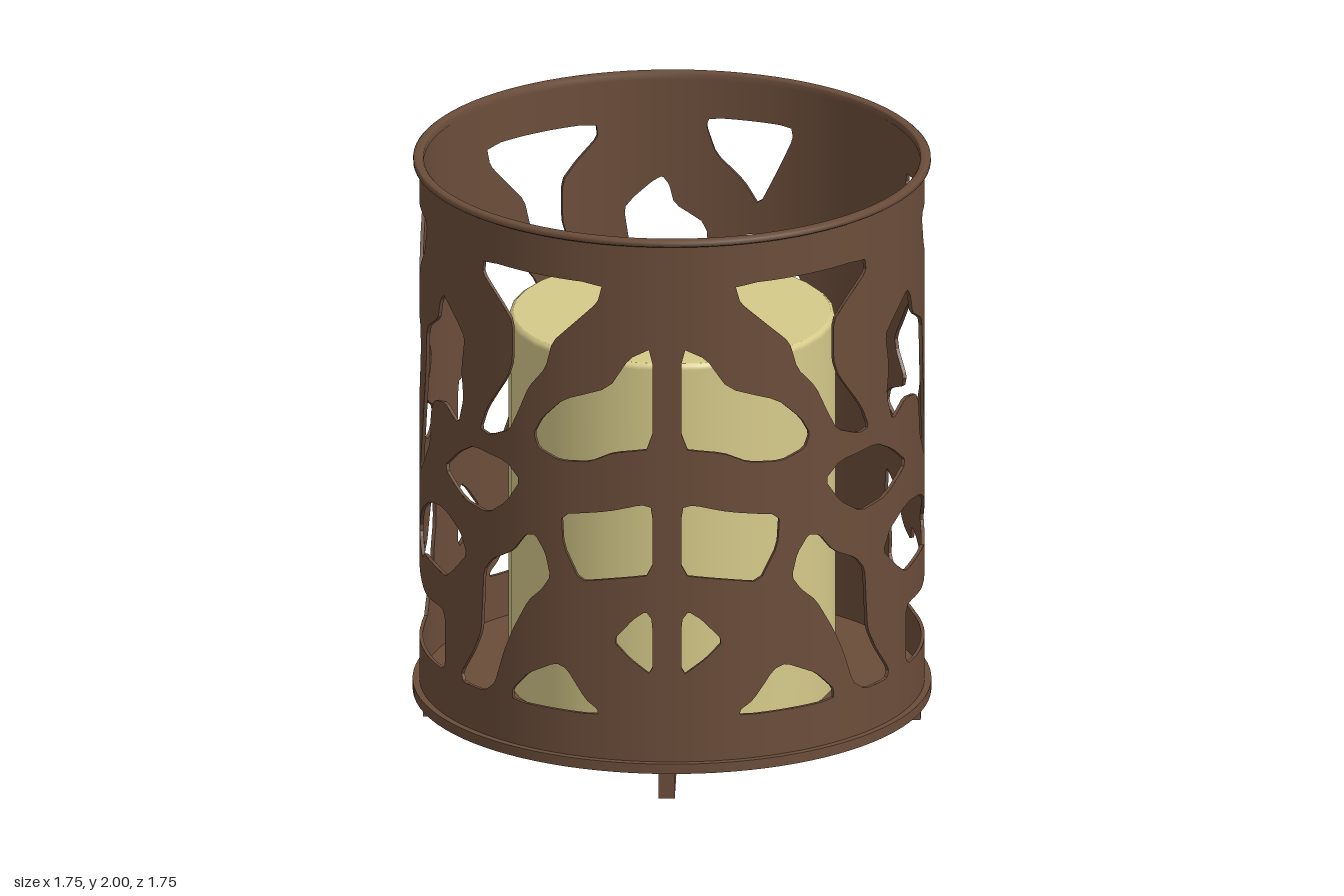
import * as THREE from 'three';

const BROWN = 0x6b4d3a, WAX = 0xd6ca8a;
const R_OUT = 0.85, R_IN = 0.838, Y0 = 0.11, Y1 = 1.98;
const START = -116.5, END = 243.5; // degrees covered by the wall

// Cut-out outlines of one panel as [degrees from the front pole, height].
const poleHoles = [
  [[3.4, 1.25], [3.4, 1.61], [9, 1.57], [14, 1.46], [26, 1.4], [32, 1.32], [34.4, 1.26], [33, 1.21], [27, 1.18], [19, 1.19], [13, 1.23]],
  [[3.4, 0.8], [3.4, 1.04], [6, 1.05], [14, 1.02], [26.5, 0.99], [26, 0.88], [21.5, 0.76], [13, 0.78]],
  [[3.4, 0.44], [3.4, 0.64], [5, 0.67], [8, 0.64], [13, 0.56], [9, 0.5]],
  [[16.8, 0.29], [41, 0.29], [41, 0.33], [36, 0.4], [28, 0.455], [25, 0.44], [20, 0.34], [17, 0.31]],
  [[15.7, 1.83], [51, 1.83], [51.5, 1.78], [45, 1.7], [41, 1.64], [41, 1.5], [42.5, 1.44], [50, 1.3], [52.5, 1.22],
    [49, 1.21], [42, 1.25], [39, 1.33], [36, 1.42], [31, 1.5], [29, 1.6], [23, 1.68], [17, 1.76]],
];
const middleHoles = [
  [[29.6, 0.76], [31, 0.84], [34, 0.9], [37, 0.89], [41, 0.82], [48, 0.77], [51, 0.72], [51.5, 0.6], [52, 0.5],
    [55, 0.42], [60.5, 0.32], [59.5, 0.29], [51, 0.29], [47, 0.33], [44, 0.45], [41, 0.54], [36, 0.66], [32, 0.71]],
  [[38.5, 1.08], [43, 1.135], [55, 1.15], [62, 1.1], [69.5, 1.02], [59, 0.945], [49.5, 0.93], [43, 0.99]],
  [[59, 1.52], [62, 1.56], [67, 1.61], [70, 1.63], [72, 1.6], [73.5, 1.53], [83, 1.46], [84, 1.3], [88, 1.1], [93.4, 0.9],
    [86, 0.97], [80, 1.06], [79, 1.18], [76, 1.23], [69, 1.25], [62, 1.2], [59.5, 1.3], [60.5, 1.4]],
  [[58, 0.75], [61, 0.82], [67, 0.86], [72, 0.87], [80, 0.85], [90, 0.78], [96, 0.7], [96, 0.67], [89, 0.61], [86, 0.64],
    [76.4, 0.64], [68.6, 0.63], [63.5, 0.68]],
];
const spineHoles = [
  [[83, 1.81], [84, 1.84], [110.7, 1.84], [111.4, 1.8], [107, 1.7], [99.5, 1.54], [94.7, 1.62], [86, 1.71]],
  [[92, 1.35], [93.4, 1.42], [96.8, 1.44], [101.5, 1.43], [110.7, 1.37], [118, 1.22], [117, 1.17], [112.8, 1.1],
    [114, 1.06], [121, 1.02], [122, 0.97], [118, 0.93], [112.8, 0.93], [107, 0.98], [100, 1.1], [94.7, 1.22]],
  [[69, 0.31], [71.5, 0.29], [112.8, 0.29], [116, 0.35], [121, 0.42], [120.5, 0.5], [122.8, 0.6], [122, 0.74], [118, 0.69],
    [113, 0.57], [108, 0.54], [107, 0.6], [95.4, 0.54], [84.6, 0.5], [70.8, 0.51], [69, 0.48]],
];

// The three panels: one as drawn, two mirrored and slightly squeezed.
const panels = [
  p => p,
  p => 243.5 - (0.92 * p - 0.0009 * p * p),
  p => -(0.95 * p - 0.0006 * p * p),
];

// Round the corners of a closed outline, then split it into short edges.
function smoothOutline(pts) {
  const cut = [], out = [];
  pts.forEach((a, i) => {
    const b = pts[(i + 1) % pts.length];
    for (const t of [0.15, 0.85]) cut.push([a[0] + (b[0] - a[0]) * t, a[1] + (b[1] - a[1]) * t]);
  });
  cut.forEach((a, i) => {
    const b = cut[(i + 1) % cut.length];
    const n = Math.ceil(Math.abs(b[0] - a[0]) / 3) || 1;
    for (let k = 0; k < n; k++) out.push([a[0] + (b[0] - a[0]) * k / n, a[1] + (b[1] - a[1]) * k / n]);
  });
  return out;
}

const dir = deg => [Math.sin(deg * Math.PI / 180), Math.cos(deg * Math.PI / 180)];

function bufferGeometry(pos, nor) {
  const g = new THREE.BufferGeometry();
  g.setAttribute('position', new THREE.Float32BufferAttribute(pos, 3));
  if (nor) g.setAttribute('normal', new THREE.Float32BufferAttribute(nor, 3));
  else g.computeVertexNormals();
  return g;
}

// Cylinder wall cut into narrow upright slabs; each slab keeps only the solid spans between cut-outs.
function wallGeometry(edges) {
  const cols = [];
  for (let a = START; a <= END; a += 3) cols.push(a);
  edges.forEach(e => cols.push(e[0][0]));
  cols.sort((a, b) => a - b);
  const pos = [], nor = [];
  const vertex = (deg, y, r, sign) => {
    const [s, c] = dir(deg);
    pos.push(s * r, y, c * r);
    nor.push(s * sign, 0, c * sign);
  };
  for (let i = 0; i + 1 < cols.length; i++) {
    const a = cols[i], b = cols[i + 1], mid = (a + b) / 2;
    if (b - a < 1e-6) continue;
    const cuts = [[Y0, Y0], [Y1, Y1]];
    for (const [p, q] of edges) {
      if ((p[0] - mid) * (q[0] - mid) >= 0) continue;
      const at = d => p[1] + (q[1] - p[1]) * (d - p[0]) / (q[0] - p[0]);
      cuts.push([at(a), at(b)]);
    }
    cuts.sort((u, v) => u[0] + u[1] - v[0] - v[1]);
    for (let k = 0; k + 1 < cuts.length; k += 2) {
      const lo = cuts[k], hi = cuts[k + 1];
      const quad = [[a, lo[0]], [b, lo[1]], [b, hi[1]], [a, hi[0]]];
      for (const j of [0, 1, 2, 0, 2, 3]) vertex(...quad[j], R_OUT, 1);
      for (const j of [0, 2, 1, 0, 3, 2]) vertex(...quad[j], R_IN, -1);
    }
  }
  return bufferGeometry(pos, nor);
}

// Thin faces joining the outer and inner wall around every cut-out.
function holeEdgeGeometry(edges) {
  const pos = [];
  for (const [p, q] of edges) {
    const point = (v, r) => { const [s, c] = dir(v[0]); return [s * r, v[1], c * r]; };
    const quad = [point(p, R_OUT), point(q, R_OUT), point(q, R_IN), point(p, R_IN)];
    for (const j of [0, 1, 2, 0, 2, 3]) pos.push(...quad[j]);
  }
  return bufferGeometry(pos);
}

export function createModel() {
  const group = new THREE.Group();
  const metal = new THREE.MeshStandardMaterial({ color: BROWN });
  const metalThin = new THREE.MeshStandardMaterial({ color: BROWN, side: THREE.DoubleSide });
  const wax = new THREE.MeshStandardMaterial({ color: WAX });
  const grey = new THREE.MeshStandardMaterial({ color: 0xcccccc });
  const add = (name, geometry, material, y = 0) => {
    const mesh = new THREE.Mesh(geometry, material);
    mesh.name = name;
    mesh.position.y = y;
    group.add(mesh);
    return mesh;
  };

  // Pierced wall
  const edges = [];
  for (const wrap of panels) {
    for (const hole of [...poleHoles, ...middleHoles, ...spineHoles]) {
      const pts = smoothOutline(hole).map(([p, y]) => [wrap(p), y]);
      pts.forEach((p, i) => edges.push([p, pts[(i + 1) % pts.length]]));
    }
  }
  add('piercedWall', wallGeometry(edges), metalThin);
  add('holeEdges', holeEdgeGeometry(edges), metalThin);

  // Rolled rim at the top
  const rim = [[0.836, 1.975], [0.862, 1.975], [0.871, 1.981], [0.871, 1.994], [0.864, 2], [0.842, 2], [0.836, 1.994], [0.836, 1.975]];
  add('topRim', new THREE.LatheGeometry(rim.map(p => new THREE.Vector2(...p)), 96), metalThin);

  // Floor plate and crossed feet
  add('floorPlate', new THREE.CylinderGeometry(0.873, 0.873, 0.035, 96), metal, 0.1175);
  for (const turn of [0, Math.PI / 2]) {
    add('footBar', new THREE.BoxGeometry(1.675, 0.1, 0.055), metal, 0.05).rotation.y = turn;
  }

  // Candle with a softly worn top edge, and its wick
  const candle = [[0, 0.135], [0.55, 0.135], [0.55, 0.135], [0.55, 1.425], [0.546, 1.438], [0.535, 1.445], [0.535, 1.445], [0, 1.445]];
  add('candle', new THREE.LatheGeometry(candle.map(p => new THREE.Vector2(...p)), 32), wax);
  const wick = new THREE.CatmullRomCurve3([[0, 1.44, 0], [0.003, 1.46, 0], [0.012, 1.475, 0], [0.028, 1.478, 0]].map(p => new THREE.Vector3(...p)));
  add('wick', new THREE.TubeGeometry(wick, 10, 0.012, 8), grey);
  const tip = add('wickTip', new THREE.SphereGeometry(0.014, 10, 8), grey, 1.478);
  tip.position.x = 0.028;

  return group;
}
